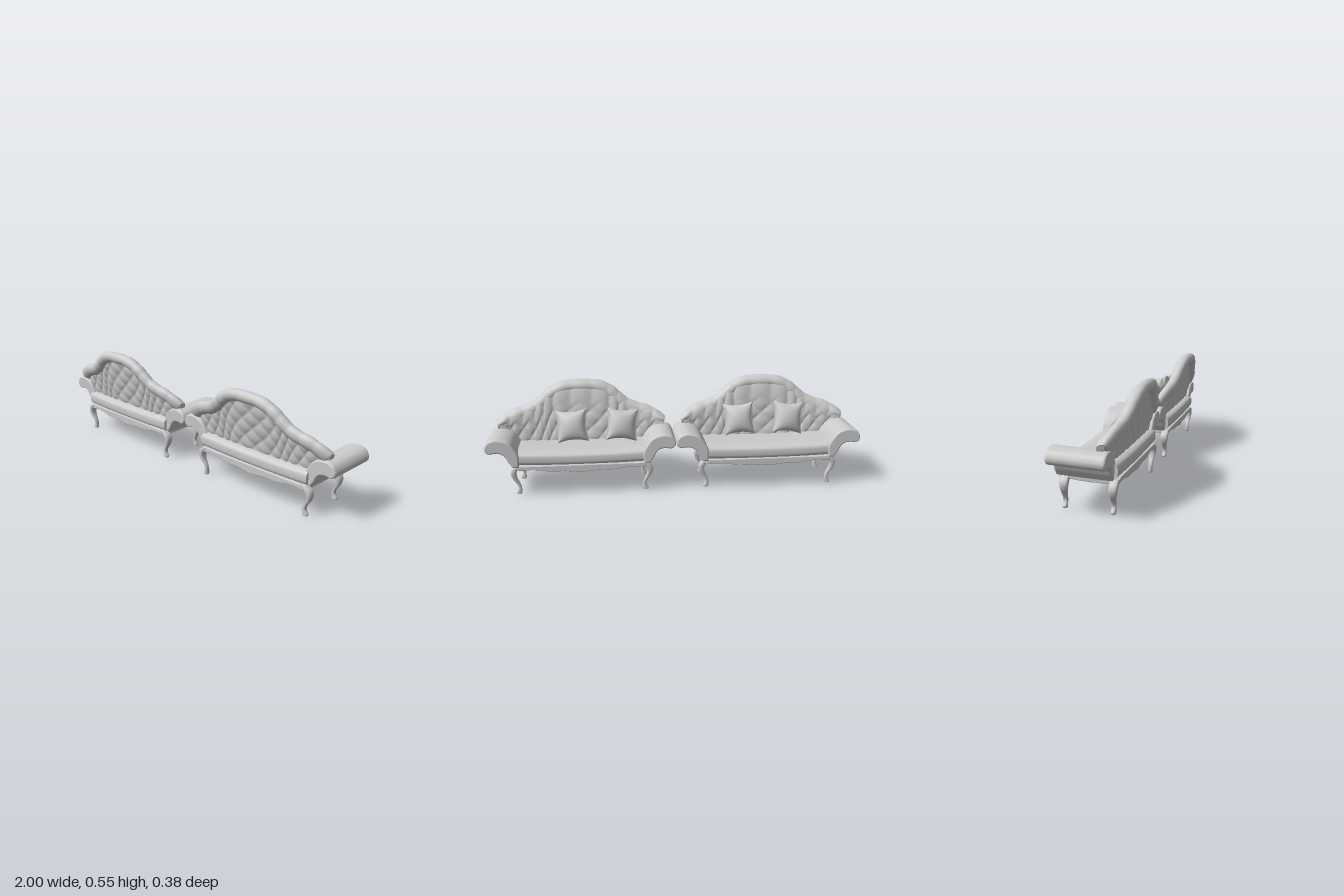
import * as THREE from 'three';

const mat = new THREE.MeshStandardMaterial({ color: 0xcccccc, side: THREE.DoubleSide });
const V = (x, y, z = 0) => new THREE.Vector3(x, y, z);
const { lerp, smoothstep } = THREE.MathUtils;

function add(parent, geo, name) {
  const m = new THREE.Mesh(geo, mat);
  m.name = name;
  parent.add(m);
  return m;
}

// Skin closed rings (wound clockwise about the sweep direction), with flat caps
function loft(rings) {
  const n = rings[0].length, pos = [], idx = [];
  rings.forEach(r => r.forEach(p => pos.push(p.x, p.y, p.z)));
  for (let i = 0; i < rings.length - 1; i++) {
    for (let j = 0; j < n; j++) {
      const k = (j + 1) % n, a = i * n + j, b = i * n + k;
      idx.push(a, a + n, b + n, a, b + n, b);
    }
  }
  [rings[0], rings[rings.length - 1]].forEach((r, end) => {
    const c = r.reduce((s, p) => s.add(p), V(0, 0)).divideScalar(n);
    const base = pos.length / 3;
    [...r, c].forEach(p => pos.push(p.x, p.y, p.z));
    for (let j = 0; j < n; j++) {
      const k = (j + 1) % n;
      idx.push(base + n, base + (end ? k : j), base + (end ? j : k));
    }
  });
  const g = new THREE.BufferGeometry();
  g.setAttribute('position', new THREE.Float32BufferAttribute(pos, 3));
  g.setIndex(idx);
  g.computeVertexNormals();
  return g;
}

// Two-sided padded sheet: fn(u, v, side), side +1 is +z
function slab(nu, nv, fn) {
  const rings = [];
  for (let i = 0; i <= nu; i++) {
    const r = [];
    for (let j = 0; j <= nv; j++) r.push(fn(i / nu, j / nv, 1));
    for (let j = nv; j >= 0; j--) r.push(fn(i / nu, j / nv, -1));
    rings.push(r);
  }
  return loft(rings);
}

const power = (c, e) => Math.sign(c) * Math.abs(c) ** e;

// Shouldered arch of the backrest, mirrored about the middle
const half = [[0.09, 0.517], [0.15, 0.492], [0.187, 0.463], [0.225, 0.428], [0.28, 0.397],
  [0.34, 0.378], [0.39, 0.355], [0.44, 0.317]];
const arch = new THREE.CatmullRomCurve3([
  ...half.map(([x, y]) => V(-x, y)).reverse(), V(0, 0.523), ...half.map(([x, y]) => V(x, y))]);
// The top leans back in a bow, the foot runs straight
const rollZ = (x, y) => 0.051 + 0.17 * (y - 0.32) + 0.036 * (1 - (x / 0.47) ** 4);
const FOOT_Z = 0.055;
const LOBES = 13;

// Diamond button tufting that runs out into vertical channels
function tuft(u, y, channel) {
  const p = Math.PI * u * LOBES, q = Math.PI * y / 0.1;
  const diamond = Math.abs(Math.sin(p + q) * Math.sin(p - q)) ** 0.5;
  return 0.01 * lerp(diamond, Math.abs(Math.sin(p)) ** 0.6, channel);
}

function backPanel() {
  return slab(140, 40, (u, v, side) => {
    const p = arch.getPoint(u), t = arch.getTangent(u);
    const low = 0.2 + 0.09 * smoothstep(Math.abs(p.x), 0.32, 0.43);
    const x = p.x - t.y * 0.03 * v;
    const y = lerp(low, p.y + t.x * 0.03, v);
    const z = lerp(FOOT_Z, rollZ(p.x, p.y + t.x * 0.03), v);
    const round = Math.sqrt(1 - v ** 8);
    const off = side > 0 ? (0.002 + tuft(u, y, 0)) * round
      : -(0.006 + 0.026 * v + tuft(u, y, smoothstep(v, 0.5, 0.75))) * round;
    return V(x, y, z + off);
  });
}

// Padded roll along the arch, gently lobed
function backRoll() {
  const rings = [];
  for (let i = 0; i <= 140; i++) {
    const u = i / 140, p = arch.getPoint(u), t = arch.getTangent(u), r = [];
    const lobe = 0.94 + 0.08 * Math.abs(Math.sin(u * Math.PI * LOBES));
    const rz = (0.025 + 0.009 * Math.sin(Math.PI * u) ** 0.6) * lobe;
    for (let j = 0; j < 20; j++) {
      const a = j / 20 * Math.PI * 2, n = Math.sin(a) * (0.039 - 0.006 * Math.sin(Math.PI * u)) * lobe;
      const x = p.x - t.y * n, y = p.y + t.x * n;
      r.push(V(x, y, rollZ(p.x, y) + Math.cos(a) * rz));
    }
    rings.push(r);
  }
  return loft(rings);
}

// Long seat with a soft front and a padded back edge
function seatCushion() {
  const rings = [];
  for (let i = 0; i <= 30; i++) {
    const x = -0.35 + 0.7 * i / 30, r = [];
    for (let j = 0; j < 48; j++) {
      const a = j / 48 * Math.PI * 2, c = Math.cos(a);
      r.push(V(x, 0.19 + 0.008 * (x / 0.35) ** 2 + 0.042 * power(Math.sin(a), 0.6),
        -0.031 + 0.137 * power(c, c > 0 ? 0.38 : 0.5)));
    }
    rings.push(r);
  }
  return loft(rings);
}

// Scrolled arm, profile drawn from the front
function armGeometry() {
  const s = new THREE.Shape();
  s.moveTo(0.336, 0.165);
  s.splineThru([[0.334, 0.215], [0.35, 0.25], [0.38, 0.287], [0.43, 0.304], [0.472, 0.295], [0.49, 0.27],
    [0.487, 0.25], [0.47, 0.242], [0.445, 0.246], [0.412, 0.24], [0.389, 0.22], [0.373, 0.19], [0.355, 0.165]]
    .map(([x, y]) => new THREE.Vector2(x, y)));
  s.closePath();
  const g = new THREE.ExtrudeGeometry(s, {
    depth: 0.246, curveSegments: 48, bevelEnabled: true,
    bevelSize: 0.008, bevelThickness: 0.012, bevelSegments: 3 });
  return g.translate(0, 0, -0.168);
}

// Cabriole leg: x, y, half width, half depth along its length
function legGeometry() {
  const path = [[0.325, 0.16, 0.02, 0.02], [0.35, 0.14, 0.018, 0.021], [0.361, 0.115, 0.015, 0.02],
    [0.355, 0.085, 0.012, 0.016], [0.339, 0.058, 0.009, 0.012], [0.331, 0.035, 0.008, 0.011],
    [0.334, 0.018, 0.012, 0.011], [0.337, 0.008, 0.015, 0.011], [0.337, 0, 0.012, 0.011]];
  const centre = new THREE.CatmullRomCurve3(path.map(p => V(p[0], p[1])));
  const size = new THREE.CatmullRomCurve3(path.map(p => V(p[2], p[3])));
  const rings = [];
  for (let i = 0; i <= 28; i++) {
    const c = centre.getPoint(i / 28), s = size.getPoint(i / 28), r = [];
    for (let j = 0; j < 16; j++) {
      const a = j / 16 * Math.PI * 2;
      r.push(V(c.x + s.x * power(Math.cos(a), 0.6), c.y, -s.y * power(Math.sin(a), 0.6)));
    }
    rings.push(r);
  }
  return loft(rings);
}

// Serpentine rail under the seat
function railGeometry(len, drop) {
  const s = new THREE.Shape();
  s.moveTo(len, 0.157);
  s.lineTo(-len, 0.157);
  for (let i = 0; i <= 48; i++) {
    const t = i / 24 - 1;
    s.lineTo(t * len, 0.142 - drop * (0.5 + 0.5 * Math.cos(Math.PI * t)) - drop * 0.15 * Math.cos(Math.PI * 4 * t));
  }
  return new THREE.ExtrudeGeometry(s, {
    depth: 0.014, bevelEnabled: true, bevelSize: 0.004, bevelThickness: 0.005, bevelSegments: 2 })
    .translate(0, 0, -0.007);
}

// Square pillow with pinched corners
function pillowGeometry() {
  return slab(24, 24, (u, v, side) => {
    const a = u * 2 - 1, b = v * 2 - 1;
    const puff = ((1 - a * a) * (1 - b * b)) ** 0.45;
    return V(0.085 * a * (1 - 0.17 * (1 - b * b)), 0.09 * b * (1 - 0.17 * (1 - a * a)), side * (0.042 * puff + 0.001));
  });
}

function sofa(pillows) {
  const g = new THREE.Group();
  add(g, backPanel(), 'tuftedBack');
  add(g, backRoll(), 'backRoll');
  add(g, seatCushion(), 'seatCushion');
  const arm = armGeometry(), leg = legGeometry();
  for (const side of [1, -1]) {
    add(g, arm, 'arm').scale.x = side;
    for (const z of [-0.138, 0.09]) {
      const l = add(g, leg, 'leg');
      l.scale.x = side;
      l.position.z = z;
    }
    const r = add(g, railGeometry(0.11, 0.003), 'sideRail');
    r.rotation.y = Math.PI / 2;
    r.position.set(side * 0.335, 0, -0.022);
  }
  add(g, railGeometry(0.335, 0.021), 'backRail').position.z = 0.096;
  add(g, railGeometry(0.335, 0.017), 'frontRail').position.z = -0.157;
  add(g, new THREE.BoxGeometry(0.66, 0.012, 0.25), 'underside').position.set(0, 0.149, -0.03);
  const pillow = pillowGeometry();
  for (const [x, z, roll] of pillows) {
    const p = add(g, pillow, 'pillow');
    p.position.set(x, 0.328, z);
    p.rotation.set(0.25, roll, roll);
  }
  g.rotation.x = 0.05;
  return g;
}

export function createModel() {
  const root = new THREE.Group();
  const left = sofa([[-0.22, -0.008, 0.08], [0.05, -0.008, -0.05]]);
  left.name = 'leftSofa';
  left.position.set(0.5, 0.005, 0);
  const right = sofa([[-0.147, 0.03, 0.08], [0.13, 0.032, -0.05]]);
  right.name = 'rightSofa';
  right.position.set(-0.5, 0.005, 0);
  // The pair stands slightly turned
  root.add(left, right);
  root.rotation.y = 0.016;
  return root;
}
